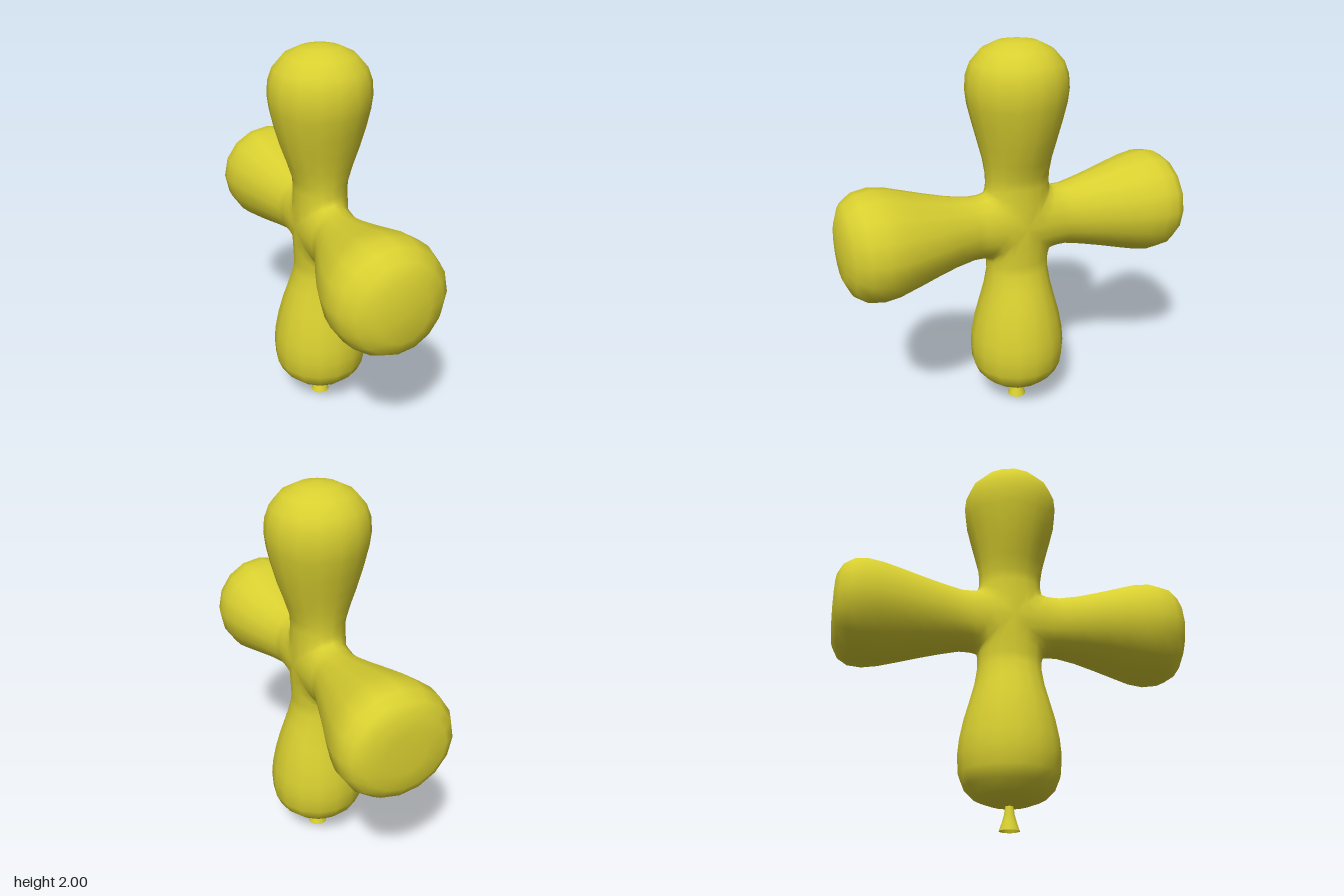
import * as THREE from 'three';
import { mergeGeometries, mergeVertices } from 'three/addons/utils/BufferGeometryUtils.js';

const SIDES = 16;
const CENTER = new THREE.Vector3(0, 1.07, -0.015);

// Lobe profiles: [distance from hub, half width in the cross plane, half width in x]
const neck = [[0.21, 0.168, 0.134], [0.26, 0.167, 0.138]];
const topLobe = [...neck, [0.34, 0.178, 0.165], [0.43, 0.2, 0.198], [0.53, 0.226, 0.227], [0.62, 0.248, 0.247],
  [0.69, 0.256, 0.256], [0.76, 0.25, 0.25], [0.82, 0.228, 0.228], [0.88, 0.175, 0.175], [0.916, 0.1, 0.1], [0.93, 0, 0]];
const bottomLobe = [...neck, [0.35, 0.18, 0.17], [0.44, 0.203, 0.203], [0.54, 0.23, 0.23], [0.64, 0.249, 0.249],
  [0.72, 0.256, 0.256], [0.81, 0.25, 0.25], [0.87, 0.225, 0.225], [0.92, 0.175, 0.175], [0.948, 0.1, 0.1], [0.957, 0, 0]];
const frontLobe = [...neck, [0.36, 0.182, 0.175], [0.47, 0.21, 0.217], [0.58, 0.242, 0.255], [0.67, 0.27, 0.276],
  [0.75, 0.28, 0.282], [0.83, 0.268, 0.262], [0.89, 0.228, 0.21], [0.924, 0.15, 0.13], [0.935, 0, 0]];
const backLobe = [...neck, [0.35, 0.185, 0.165], [0.46, 0.212, 0.199], [0.57, 0.242, 0.235], [0.67, 0.268, 0.264],
  [0.75, 0.28, 0.28], [0.82, 0.273, 0.277], [0.87, 0.242, 0.25], [0.9, 0.185, 0.2], [0.907, 0.1, 0.1], [0.907, 0, 0]];

// One lobe along +y; its inner rim lies on the diagonal mitre shared by all four lobes
function makeLobe(profile, turn) {
  const pos = [], index = [];
  const rows = profile.length + 2;
  for (let j = 0; j < rows; j++) {
    for (let i = 0; i < SIDES; i++) {
      const a = (i / SIDES) * Math.PI * 2;
      const c = Math.cos(a), s = Math.sin(a);
      const rim = Math.abs(0.178 * c);
      if (j === 0) pos.push(0.14 * s, rim, 0.178 * c);
      else if (j === 1) pos.push(0.137 * s, (rim + 0.21) / 2, 0.171 * c);
      else {
        const [d, w, wx] = profile[j - 2];
        pos.push(wx * s, d, w * c);
      }
      if (j < rows - 1) {
        const n = (i + 1) % SIDES;
        const p = j * SIDES + i, q = j * SIDES + n;
        index.push(p, q, q + SIDES, p, q + SIDES, p + SIDES);
      }
    }
  }
  const g = new THREE.BufferGeometry();
  g.setAttribute('position', new THREE.Float32BufferAttribute(pos, 3));
  g.setIndex(index);
  return g.rotateX(turn);
}

export function createModel() {
  const group = new THREE.Group();
  group.name = 'crossBalloon';
  const yellow = new THREE.MeshStandardMaterial({ color: 0xd8cf30, side: THREE.DoubleSide });

  // Four lobes welded into one smooth skin
  const lobes = [topLobe, frontLobe, bottomLobe, backLobe].map((p, i) => makeLobe(p, (i * Math.PI) / 2));
  const skin = mergeVertices(mergeGeometries(lobes), 1e-4);
  skin.computeVertexNormals();
  const body = new THREE.Mesh(skin, yellow);
  body.name = 'balloonBody';
  body.position.copy(CENTER);
  group.add(body);

  // Flared open nozzle under the bottom lobe
  const flare = [[0.05, 0], [0.036, 0.04], [0.026, 0.075], [0.018, 0.125]].map(([r, y]) => new THREE.Vector2(r, y));
  const nozzle = new THREE.Mesh(new THREE.LatheGeometry(flare, SIDES), yellow);
  nozzle.name = 'nozzle';
  nozzle.position.z = CENTER.z;
  group.add(nozzle);

  return group;
}
